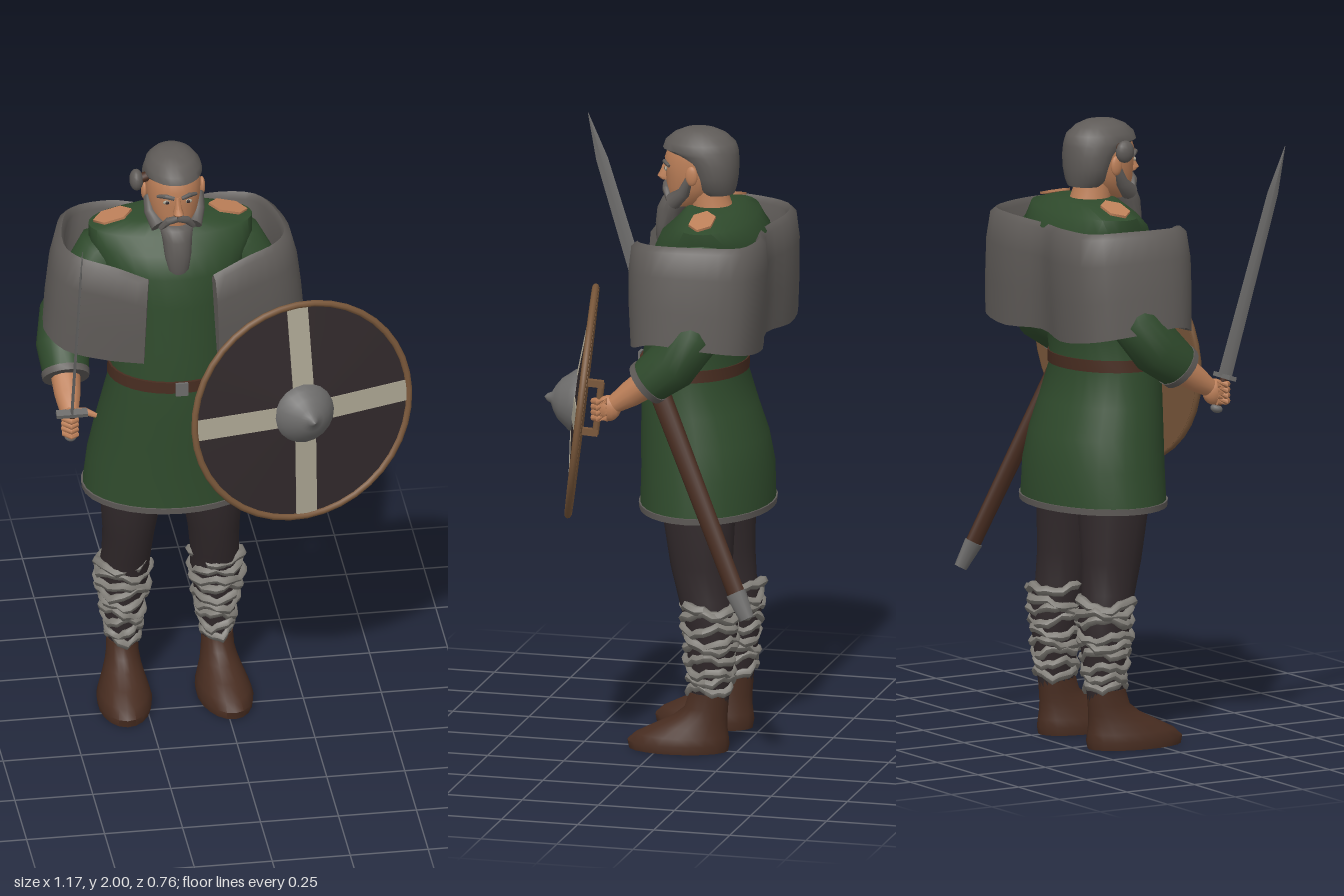
import * as THREE from 'three';
import { toCreasedNormals } from 'three/addons/utils/BufferGeometryUtils.js';

const V = (x, y, z) => new THREE.Vector3(x, y, z);

function material(name, color, side = THREE.FrontSide) {
  const m = new THREE.MeshStandardMaterial({ color, side });
  m.name = name;
  return m;
}

// Closed skin over a list of rings, each ring right-handed about the path
function skin(rings, crease = 0.9) {
  const n = rings[0].length, pos = [], idx = [];
  rings.forEach(r => r.forEach(p => pos.push(p.x, p.y, p.z)));
  for (let i = 0; i < rings.length - 1; i++) for (let j = 0; j < n; j++) {
    const k = (j + 1) % n, a = i * n + j, d = i * n + k, b = a + n, c = d + n;
    idx.push(a, d, b, d, c, b);
  }
  [0, rings.length - 1].forEach(i => {
    const c = rings[i].reduce((s, p) => s.add(p), V(0, 0, 0)).divideScalar(n);
    const ci = pos.length / 3;
    pos.push(c.x, c.y, c.z);
    for (let j = 0; j < n; j++) {
      const a = i * n + j, b = i * n + (j + 1) % n;
      i ? idx.push(ci, a, b) : idx.push(ci, b, a);
    }
  });
  const g = new THREE.BufferGeometry();
  g.setAttribute('position', new THREE.Float32BufferAttribute(pos, 3));
  g.setIndex(idx);
  return toCreasedNormals(g, crease);
}

const ring = (c, u, v, ru, rv, seg) => Array.from({ length: seg }, (_, j) => {
  const a = j / seg * Math.PI * 2;
  return c.clone().addScaledVector(u, Math.cos(a) * ru).addScaledVector(v, Math.sin(a) * rv);
});

// Level ellipses, bottom to top: [y, x, z, rx, rz]
const stack = (rows, seg = 24) =>
  skin(rows.map(([y, x, z, rx, rz]) => ring(V(x, y, z), V(0, 0, 1), V(1, 0, 0), rz, rx, seg)));

// Round limb along points [x, y, z, r, optional second r]
function limb(pts, seg = 12) {
  const p = pts.map(q => V(q[0], q[1], q[2])), last = p.length - 1;
  const dir = p[last].clone().sub(p[0]).normalize();
  const ref = Math.abs(dir.z) > 0.9 ? V(0, 1, 0) : V(0, 0, 1);
  return skin(p.map((c, i) => {
    const t = p[Math.min(i + 1, last)].clone().sub(p[Math.max(i - 1, 0)]).normalize();
    const u = ref.clone().addScaledVector(t, -ref.dot(t)).normalize();
    return ring(c, u, t.clone().cross(u), pts[i][3], pts[i][4] ?? pts[i][3], seg);
  }));
}

export function createModel() {
  const model = new THREE.Group();
  const body = new THREE.Group();
  body.name = 'warrior';
  body.position.x = -0.155;
  model.add(body);

  const skinTone = material('skin', 0xbd8059), green = material('tunic green', 0x2f4a2c);
  const wool = material('grey wool', 0x5f5b58), wrapGrey = material('wrap grey', 0x7f7c76);
  const dark = material('dark cloth', 0x30282a), leather = material('leather', 0x472c20);
  const cream = material('cream paint', 0xa8a290), wood = material('wood', 0x79573a);
  const metal = material('metal', 0x6c6b6a);

  const add = (parent, name, geo, mat, x = 0, y = 0, z = 0) => {
    const m = new THREE.Mesh(geo, mat);
    m.name = name;
    m.position.set(x, y, z);
    parent.add(m);
    return m;
  };
  const ball = (parent, name, mat, x, y, z, sx, sy, sz) => {
    const m = add(parent, name, new THREE.SphereGeometry(1, 14, 10), mat, x, y, z);
    m.scale.set(sx, sy, sz);
    return m;
  };

  // Tunic, hem and belt
  add(body, 'tunic', stack([
    [0.78, 0, -0.115, 0.285, 0.21], [0.9, 0, -0.115, 0.27, 0.208], [1.0, 0, -0.105, 0.25, 0.2],
    [1.1, 0, -0.088, 0.23, 0.183], [1.22, 0, -0.07, 0.205, 0.165], [1.35, 0, -0.085, 0.2, 0.167],
    [1.5, 0, -0.11, 0.215, 0.18], [1.6, 0, -0.125, 0.235, 0.182], [1.67, 0, -0.14, 0.262, 0.165],
    [1.715, 0, -0.145, 0.262, 0.12], [1.745, 0, -0.14, 0.15, 0.09], [1.752, 0, -0.13, 0.08, 0.075]], 32), green);
  add(body, 'hem', stack([[0.768, 0, -0.115, 0.288, 0.213], [0.788, 0, -0.115, 0.29, 0.215]], 32), wool);
  add(body, 'belt', stack([[1.212, 0, -0.07, 0.213, 0.172], [1.25, 0, -0.071, 0.21, 0.172]], 32), leather);
  add(body, 'buckle', new THREE.BoxGeometry(0.04, 0.045, 0.009), metal, 0, 1.23, 0.107);

  // Fur mantle: a thick open band around the shoulders
  const half = [[-0.11, 0.1, 1.63, 1.33], [-0.22, 0.075, 1.67, 1.34], [-0.33, 0.03, 1.69, 1.36],
    [-0.375, -0.04, 1.695, 1.385], [-0.365, -0.19, 1.695, 1.37], [-0.31, -0.31, 1.69, 1.35],
    [-0.17, -0.34, 1.69, 1.33]];
  const path = [...half, [0, -0.305, 1.68, 1.34], ...half.map(([x, ...r]) => [-x, ...r]).reverse()];
  const topCurve = new THREE.CatmullRomCurve3(path.map(p => V(p[0] * 0.97, p[2], p[1])));
  const lowCurve = new THREE.CatmullRomCurve3(path.map(p => V(p[0] * 1.1, p[3], p[1])));
  const bands = [];
  for (let i = 0; i <= 48; i++) {
    const a = topCurve.getPoint(i / 48), b = lowCurve.getPoint(i / 48), t = topCurve.getTangent(i / 48);
    const out = V(t.z, 0, -t.x).normalize();
    const at = (h, o) => b.clone().lerp(a, h).addScaledVector(out, o);
    bands.push([at(0, 0), at(0.35, 0.008), at(0.7, 0.012), at(0.95, 0.004), at(1, -0.014),
      at(0.94, -0.028), at(0.4, -0.024), at(0.02, -0.02)]);
  }
  add(body, 'furMantle', skin(bands, 1.1), wool);

  // Arms and legs, mirrored
  for (const s of [-1, 1]) {
    const side = s > 0 ? 'left' : 'right';
    const arm = new THREE.Group();
    arm.name = side + 'Arm';
    body.add(arm);
    const m = pts => pts.map(([x, ...r]) => [x * s, ...r]);
    add(arm, 'sleeve', limb(m([[0.15, 1.66, -0.15, 0.06], [0.2, 1.61, -0.15, 0.1], [0.27, 1.5, -0.155, 0.088],
      [0.335, 1.39, -0.15, 0.086], [0.352, 1.31, -0.09, 0.086], [0.355, 1.245, -0.01, 0.072]]), 18), green);
    add(arm, 'cuff', limb(m([[0.355, 1.254, -0.021, 0.077], [0.355, 1.24, -0.004, 0.075]]), 18), wool);
    add(arm, 'forearm', limb(m([[0.355, 1.26, -0.03, 0.05], [0.358, 1.205, 0.045, 0.042],
      [0.36, 1.17, 0.095, 0.03]])), skinTone);
    ball(arm, 'palm', skinTone, 0.36 * s, 1.155, 0.115, 0.028, 0.042, 0.04);
    for (let f = 0; f < 4; f++) {
      const y = 1.18 - f * 0.018;
      add(arm, 'finger', limb(m([[0.378, y, 0.115, 0.012], [0.381, y - 0.003, 0.145, 0.011],
        [0.362, y - 0.005, 0.163, 0.011], [0.342, y - 0.005, 0.15, 0.009]]), 8), skinTone);
    }
    add(arm, 'thumb', limb(m([[0.345, 1.17, 0.095, 0.015], [0.31, 1.175, 0.105, 0.013], [0.275, 1.162, 0.115, 0.008]]), 8), skinTone);

    // Bare patch on top of the shoulder
    const patch = add(body, side + 'ShoulderOpening', new THREE.CylinderGeometry(1, 1, 0.008, 6).rotateY(Math.PI / 2),
      skinTone, 0.185 * s, 1.74, -0.145);
    patch.scale.set(0.064, 1, 0.042);
    patch.rotation.z = -0.25 * s;

    const leg = new THREE.Group();
    leg.name = side + 'Leg';
    body.add(leg);
    add(leg, 'trouser', stack([[0.15, 0.15, -0.16, 0.045, 0.06], [0.3, 0.15, -0.165, 0.064, 0.075],
      [0.42, 0.148, -0.165, 0.082, 0.086], [0.5, 0.142, -0.145, 0.078, 0.088], [0.6, 0.136, -0.13, 0.083, 0.1],
      [0.75, 0.128, -0.12, 0.102, 0.115], [0.95, 0.105, -0.12, 0.105, 0.115]].map(([y, x, ...r]) => [y, x * s, ...r]), 20), dark);

    // Ragged cloth bindings
    for (let i = 0; i < 9; i++) {
      const k = i / 8, geo = new THREE.TorusGeometry(1, 0.19, 6, 22).rotateX(Math.PI / 2);
      const p = geo.attributes.position;
      for (let j = 0; j < p.count; j++) {
        const a = Math.atan2(p.getZ(j), p.getX(j));
        const f = 1 + 0.06 * Math.sin(a * 5 + i * 2.1 + s);
        p.setXYZ(j, p.getX(j) * f, p.getY(j) + 0.12 * Math.sin(a * 3 + i * 4.7) + 0.06 * Math.sin(a * 8 + i), p.getZ(j) * f);
      }
      geo.computeVertexNormals();
      const w = add(leg, 'legWrap', geo, wrapGrey, 0.15 * s, 0.2 + 0.275 * k, -0.162);
      w.scale.set(0.05 + 0.03 * Math.min(1, k * 1.3), 0.085, 0.066 + 0.019 * k);
      w.rotation.set(0.08 * Math.sin(i * 2.3), 0, 0.16 * Math.sin(i * 1.9 + s));
    }
    const boot = add(leg, 'boot', stack([[0, 0, 0.1, 0.085, 0.16], [0.025, 0, 0.1, 0.088, 0.165],
      [0.05, 0, 0.088, 0.08, 0.15], [0.08, 0, 0.06, 0.068, 0.118], [0.11, 0, 0.03, 0.058, 0.088],
      [0.14, 0, 0.01, 0.052, 0.07], [0.19, 0, 0, 0.05, 0.064]], 20), leather, 0.152 * s, 0, -0.16);
    boot.rotation.y = 0.08 * s;
  }

  // Head, hair and beard
  const head = new THREE.Group();
  head.name = 'head';
  body.add(head);
  add(head, 'neck', limb([[0, 1.7, -0.135, 0.072], [0, 1.77, -0.12, 0.062], [0, 1.84, -0.11, 0.062]], 16), skinTone);
  add(head, 'face', stack([[1.745, 0, -0.04, 0.04, 0.05], [1.77, 0, -0.055, 0.06, 0.07], [1.81, 0, -0.075, 0.077, 0.094],
    [1.85, 0, -0.084, 0.085, 0.106], [1.9, 0, -0.085, 0.087, 0.111], [1.95, 0, -0.09, 0.08, 0.1], [1.985, 0, -0.09, 0.05, 0.06]]), skinTone);
  add(head, 'hair', stack([[1.79, 0, -0.145, 0.06, 0.055], [1.81, 0, -0.14, 0.076, 0.066], [1.85, 0, -0.138, 0.09, 0.074],
    [1.89, 0, -0.127, 0.093, 0.087], [1.92, 0, -0.105, 0.094, 0.108], [1.932, 0, -0.09, 0.093, 0.122],
    [1.955, 0, -0.09, 0.087, 0.114], [1.98, 0, -0.09, 0.068, 0.085], [1.995, 0, -0.09, 0.04, 0.05], [2, 0, -0.09, 0.01, 0.012]]), wool);
  add(head, 'beard', stack([[1.595, 0, 0.035, 0.012, 0.008], [1.63, 0, 0.032, 0.034, 0.022], [1.68, 0, 0.022, 0.043, 0.034],
    [1.73, 0, 0.005, 0.048, 0.046], [1.765, 0, -0.012, 0.055, 0.046], [1.776, 0, -0.02, 0.05, 0.04]], 16), wool);
  add(head, 'nose', stack([[1.822, 0, 0.025, 0.016, 0.014], [1.832, 0, 0.03, 0.018, 0.022], [1.85, 0, 0.024, 0.011, 0.018],
    [1.885, 0, 0.015, 0.008, 0.014]], 10), skinTone);
  for (const s of [-1, 1]) {
    ball(head, 'ear', skinTone, 0.093 * s, 1.86, -0.085, 0.01, 0.032, 0.02);
    add(head, 'jawBeard', limb([[0.085 * s, 1.85, -0.075, 0.012], [0.078 * s, 1.8, -0.055, 0.02], [0.055 * s, 1.765, -0.015, 0.028]]), wool);
    add(head, 'moustache', limb([[0, 1.808, 0.022, 0.012], [0.03 * s, 1.797, 0.015, 0.013], [0.052 * s, 1.765, 0, 0.009]], 8), wool);
    ball(head, 'eye', cream, 0.034 * s, 1.865, 0.014, 0.013, 0.007, 0.005);
    ball(head, 'pupil', dark, 0.034 * s, 1.865, 0.017, 0.006, 0.006, 0.004);
    add(head, 'eyebrow', limb([[0.012 * s, 1.882, 0.024, 0.007], [0.038 * s, 1.889, 0.018, 0.008], [0.062 * s, 1.88, -0.003, 0.005]], 8), wool);
  }
  ball(head, 'hairKnot', wool, -0.12, 1.908, -0.07, 0.022, 0.036, 0.032);
  add(head, 'hairTie', limb([[-0.075, 1.92, -0.07, 0.016], [-0.11, 1.912, -0.07, 0.016]]), leather);

  // Scabbard hanging from the belt on the left hip
  const scabbard = new THREE.Group();
  scabbard.name = 'scabbard';
  model.add(scabbard);
  add(scabbard, 'sheath', limb([[0.135, 1.26, -0.01, 0.035, 0.02], [0.25, 0.58, -0.32, 0.029, 0.016]]), leather);
  add(scabbard, 'sheathTip', limb([[0.247, 0.59, -0.315, 0.034, 0.02], [0.262, 0.51, -0.355, 0.024, 0.014]]), metal);

  // Sword in the right hand
  const sword = new THREE.Group();
  sword.name = 'sword';
  sword.position.set(-0.515, 1.2, 0.155);
  sword.rotation.x = 0.3;
  model.add(sword);
  add(sword, 'blade', stack([[0, 0, 0, 0.005, 0.026], [0.6, 0, 0, 0.004, 0.02], [0.755, 0, 0, 0.001, 0.001]], 4), metal);
  add(sword, 'guard', new THREE.BoxGeometry(0.1, 0.014, 0.026), metal);
  add(sword, 'grip', new THREE.CylinderGeometry(0.013, 0.013, 0.1, 10), leather, 0, -0.05, 0);
  ball(sword, 'pommel', metal, 0, -0.105, 0, 0.02, 0.014, 0.02);

  // Round shield, built face up and then turned forward
  const shield = new THREE.Group();
  shield.name = 'shield';
  shield.position.set(0.215, 1.175, 0.2);
  shield.rotation.set(-0.115, 0.225, 0, 'YXZ');
  model.add(shield);
  const disc = new THREE.Group();
  disc.name = 'shieldDisc';
  disc.rotation.x = Math.PI / 2;
  shield.add(disc);
  const R = 0.365, rise = 0.03, slope = Math.atan(rise / R);
  add(disc, 'shieldFace', new THREE.ConeGeometry(R, rise, 40, 1, true), dark, 0, rise / 2, 0);
  add(disc, 'shieldBack', new THREE.CylinderGeometry(R, R, 0.012, 40), wood, 0, -0.006, 0);
  add(disc, 'shieldRim', new THREE.TorusGeometry(R, 0.011, 8, 40).rotateX(Math.PI / 2), wood);
  for (let i = 0; i < 4; i++) {
    const arm = new THREE.Group();
    arm.name = 'crossArm';
    arm.rotation.y = i * Math.PI / 2;
    disc.add(arm);
    add(arm, 'paintedBand', new THREE.BoxGeometry(R - 0.01, 0.006, 0.07), cream, R / 2, rise / 2, 0).rotation.z = -slope;
  }
  add(disc, 'boss', new THREE.LatheGeometry([[0.1, 0.015], [0.098, 0.03], [0.085, 0.045], [0.065, 0.07], [0.04, 0.087],
    [0.018, 0.097], [0.012, 0.11], [0, 0.12]].map(p => new THREE.Vector2(...p)), 20), metal);
  // Grip behind the shield
  add(shield, 'shieldGrip', new THREE.CylinderGeometry(0.011, 0.011, 0.17, 8), wood, -0.01, -0.02, -0.055);
  for (const s of [-1, 1])
    add(shield, 'gripPost', new THREE.BoxGeometry(0.022, 0.022, 0.06), wood, -0.01, -0.02 + 0.08 * s, -0.032);

  return model;
}
